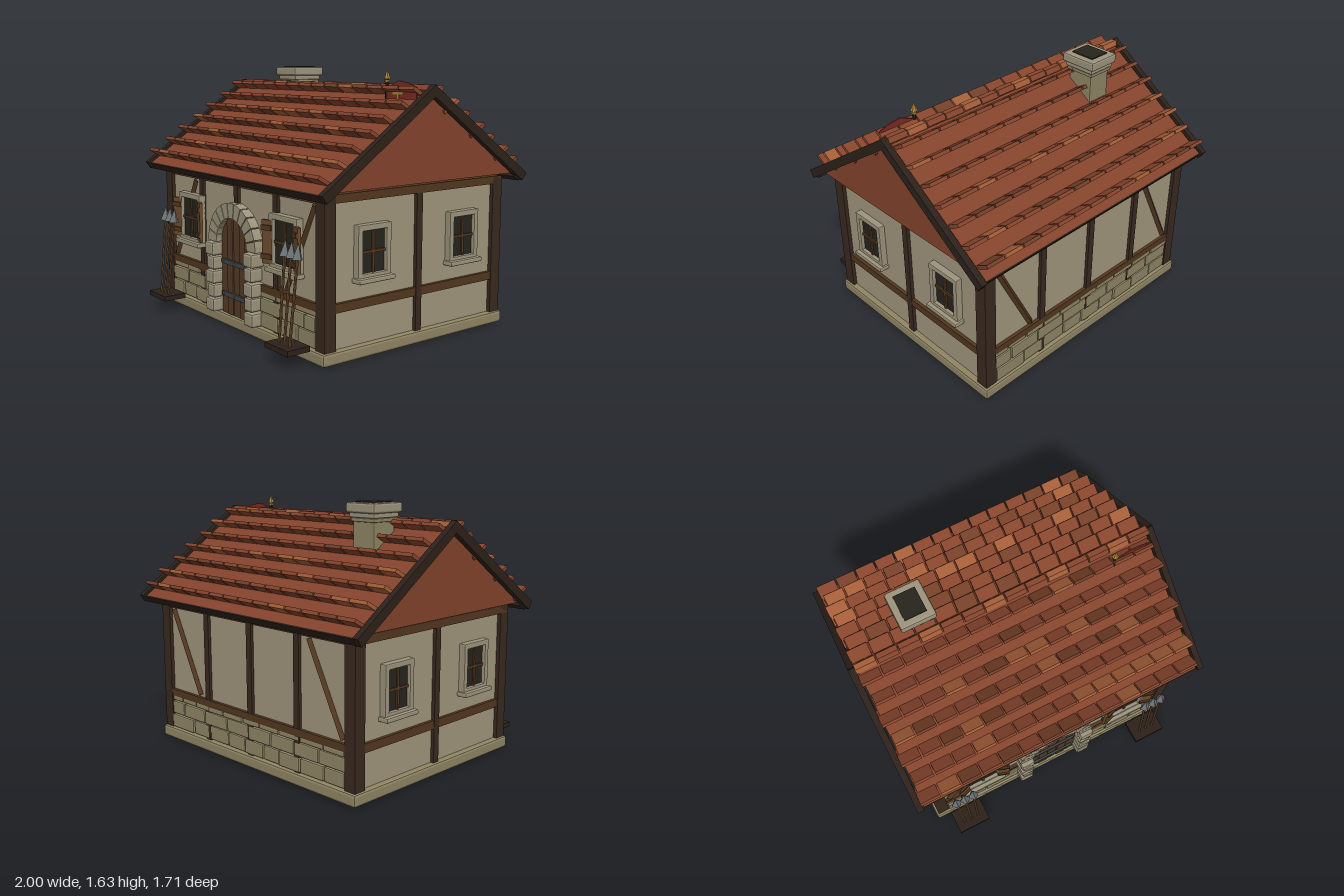
import * as THREE from 'three';
import { RoundedBoxGeometry } from 'three/addons/geometries/RoundedBoxGeometry.js';

const mat = (color, extra = {}) => new THREE.MeshStandardMaterial({ color, flatShading: true, ...extra });
const M = {
  plaster: mat(0xa1967c), stone: mat(0x8f8564), paleStone: mat(0x9c947c), postWood: mat(0x38291e),
  beamWood: mat(0x53371f), darkWood: mat(0x2c211a), plank: mat(0x563a25), shutter: mat(0x6a4a2c),
  roof: mat(0x84432c), tile: mat(0x87452d), tileLight: mat(0xa45d38), tileDark: mat(0x743f28),
  glass: mat(0x27241d), iron: mat(0x43474a), steel: mat(0x6b7274), gold: mat(0xa8843a),
  flag: mat(0x7d2a22, { side: THREE.DoubleSide }),
};

let seed = 7;
const rand = () => (seed = (seed * 16807) % 2147483647) / 2147483647;

function add(parent, name, geo, material, x = 0, y = 0, z = 0) {
  const m = new THREE.Mesh(geo, material);
  m.name = name;
  m.position.set(x, y, z);
  parent.add(m);
  return m;
}
const box = (p, name, material, w, h, d, x, y, z) =>
  add(p, name, new THREE.BoxGeometry(w, h, d), material, x, y, z);
// Box with chamfered edges
const block = (p, name, material, w, h, d, x, y, z, r = 0.01) =>
  add(p, name, new RoundedBoxGeometry(w, h, d, 1, r), material, x, y, z);
const extrude = (pts, depth) => new THREE.ExtrudeGeometry(
  new THREE.Shape(pts.map(([x, y]) => new THREE.Vector2(x, y))), { depth, bevelEnabled: false });
// Round or square bar between two points
function bar(p, name, material, a, b, r, sides = 6) {
  const A = new THREE.Vector3(...a), B = new THREE.Vector3(...b), d = B.clone().sub(A);
  const m = add(p, name, new THREE.CylinderGeometry(r, r, d.length(), sides), material);
  m.position.copy(A).add(B).multiplyScalar(0.5);
  m.quaternion.setFromUnitVectors(new THREE.Vector3(0, 1, 0), d.normalize());
}
function group(parent, name, x = 0, y = 0, z = 0) {
  const g = new THREE.Group();
  g.name = name;
  g.position.set(x, y, z);
  parent.add(g);
  return g;
}

// Window facing +z, with its back at z = 0
function addWindow(parent, w, h) {
  const g = group(parent, 'window');
  for (const s of [-1, 1]) {
    block(g, 'windowFrameSide', M.paleStone, 0.035, h + 0.06, 0.05, s * (w / 2 + 0.015), 0, 0.02, 0.006);
    block(g, 'windowFrameTop', M.paleStone, w + 0.065, 0.035, 0.05, 0, s * (h / 2 + 0.015), 0.02, 0.006);
  }
  box(g, 'glass', M.glass, w, h, 0.02, 0, 0, 0.012);
  box(g, 'mullion', M.beamWood, 0.016, h, 0.02, 0, 0, 0.022);
  box(g, 'transom', M.beamWood, w, 0.016, 0.02, 0, 0, 0.022);
  block(g, 'windowSill', M.paleStone, w + 0.09, 0.03, 0.075, 0, -h / 2 - 0.032, 0.034, 0.008);
  return g;
}

// Courses of stone between two x positions on the wall at side s
function stonework(parent, x0, x1, s) {
  const courses = [[0.085, 0.175], [0.18, 0.265], [0.27, 0.305]];
  courses.forEach(([y0, y1], row) => {
    let x = x0;
    while (x < x1 - 0.01) {
      let w = row === 1 ? 0.19 + rand() * 0.04 : 0.14 + rand() * 0.06;
      if (x1 - x - w < 0.07) w = x1 - x;
      block(parent, 'wallStone', M.stone, w - 0.006, y1 - y0, 0.05, x + w / 2, (y0 + y1) / 2,
        s * (0.677 + rand() * 0.012), 0.008);
      x += w;
    }
  });
}

function buildWalls(h) {
  block(h, 'foundation', M.stone, 1.81, 0.075, 1.45, 0, 0.0425, 0, 0.015);
  box(h, 'foundationBottom', M.stone, 1.77, 0.02, 1.41, 0, 0.01, 0);
  box(h, 'walls', M.plaster, 1.73, 0.87, 1.37, 0, 0.515, 0);
  for (const s of [-1, 1]) {
    for (const t of [-1, 1]) box(h, 'cornerPost', M.postWood, 0.08, 0.87, 0.08, s * 0.85, 0.515, t * 0.668);
    // Gable end timbers and windows
    box(h, 'gablePost', M.postWood, 0.04, 0.83, 0.045, s * 0.868, 0.495, 0);
    box(h, 'gableRail', M.beamWood, 0.04, 0.052, 1.3, s * 0.866, 0.32, 0);
    box(h, 'gablePlate', M.beamWood, 0.06, 0.048, 1.4, s * 0.86, 0.931, 0);
    for (const t of [-1, 1]) {
      const w = addWindow(h, 0.18, 0.25);
      w.position.set(s * 0.862, 0.612, t * 0.36);
      w.rotation.y = s * Math.PI / 2;
    }
    // Long wall timbers
    box(h, 'wallPlate', M.beamWood, 1.66, 0.048, 0.05, 0, 0.926, s * 0.675);
    for (const x of [-0.42, 0.42]) box(h, 'wallPost', M.postWood, 0.045, 0.85, 0.05, x, 0.505, s * 0.68);
    for (const x of [-0.645, 0.645])
      bar(h, 'brace', M.beamWood, [x + 0.135, 0.89, s * 0.687], [x - 0.135, 0.36, s * 0.687], 0.02, 4);
  }
  box(h, 'frontCentrePost', M.postWood, 0.045, 0.15, 0.05, 0, 0.86, 0.68);
  box(h, 'backCentrePost', M.postWood, 0.045, 0.85, 0.05, 0, 0.505, -0.68);
  box(h, 'backRail', M.beamWood, 1.64, 0.046, 0.045, 0, 0.323, -0.684);
  for (const s of [-1, 1]) box(h, 'frontRail', M.beamWood, 0.58, 0.046, 0.045, s * 0.53, 0.323, 0.684);
  stonework(h, -0.81, -0.26, 1);
  stonework(h, 0.26, 0.81, 1);
  stonework(h, -0.81, 0.81, -1);
}

function buildFront(h) {
  // Plank door with a round head
  const R = 0.175, spring = 0.535, n = 5;
  for (let i = 0; i < n; i++) {
    const a = -R + (2 * R * i) / n + 0.003, b = -R + (2 * R * (i + 1)) / n - 0.003;
    const pts = [[a, 0.08], [b, 0.08]];
    for (let k = 0; k <= 6; k++) {
      const x = b + ((a - b) * k) / 6;
      pts.push([x, spring + Math.sqrt(R * R - x * x)]);
    }
    add(h, 'doorPlank', extrude(pts, 0.025), M.plank, 0, 0, 0.68 + (i % 2) * 0.005);
  }
  for (const y of [0.21, 0.42]) {
    box(h, 'doorStrap', M.iron, 0.3, 0.03, 0.015, 0, y, 0.716);
    for (const x of [-0.125, 0, 0.125]) box(h, 'strapRivet', M.steel, 0.012, 0.012, 0.01, x, y, 0.725);
  }
  // Stone arch and jambs
  const count = 11;
  for (let i = 0; i < count; i++) {
    const a0 = (Math.PI * i) / count + 0.012, a1 = (Math.PI * (i + 1)) / count - 0.012, pts = [];
    for (const [r, list] of [[0.27, [0, 0.5, 1]], [R, [1, 0.5, 0]]])
      for (const t of list) {
        const a = a0 + (a1 - a0) * t;
        pts.push([r * Math.cos(a), spring + r * Math.sin(a)]);
      }
    add(h, 'archStone', extrude(pts, 0.075), M.paleStone, 0, 0, 0.67);
  }
  for (const s of [-1, 1])
    for (let i = 0; i < 5; i++) {
      const wide = i % 2 === 0 ? 0.095 : 0.08;
      block(h, 'jambStone', M.paleStone, wide, 0.086, i % 2 ? 0.09 : 0.1, s * (R + wide / 2), 0.126 + i * 0.091, 0.725, 0.014);
    }
  // Shuttered windows
  for (const s of [-1, 1]) {
    const w = addWindow(h, 0.21, 0.265);
    w.position.set(s * 0.535, 0.637, 0.69);
    for (const t of [-1, 1]) {
      const g = group(h, 'shutter', s * 0.535 + t * 0.143, 0.63, 0.735);
      g.rotation.y = -t * 0.3;
      box(g, 'shutterBoard', M.shutter, 0.075, 0.26, 0.02, 0, 0, 0);
      for (const y of [-0.085, 0.085]) box(g, 'shutterBatten', M.beamWood, 0.075, 0.03, 0.014, 0, y, 0.015);
    }
  }
  // Spear racks
  for (const s of [-1, 1]) {
    const g = group(h, 'spearRack', s * 0.7, 0, 0);
    box(g, 'rackBase', M.darkWood, 0.22, 0.032, 0.155, 0, 0.098, 0.822);
    for (const i of [-1, 0, 1]) {
      bar(g, 'spearShaft', M.shutter, [i * 0.05, 0.1, 0.842], [i * 0.06, 0.61, 0.792], 0.009);
      const head = add(g, 'spearHead', new THREE.ConeGeometry(0.036, 0.095, 4), M.steel, i * 0.06, 0.645, 0.789);
      head.rotation.x = -0.1;
    }
  }
}

function buildRoof(h) {
  // Solid roof body
  add(h, 'roofBody', extrude([[-0.785, 0.975], [0.785, 0.975], [0, 1.515]], 1.9), M.roof, -0.95, 0, 0)
    .rotation.y = Math.PI / 2;
  const pitch = Math.atan(0.69);
  for (const s of [-1, 1]) {
    for (const e of [-1, 1]) {
      const b = box(h, 'bargeBoard', M.darkWood, 0.04, 0.056, 0.985, e * 0.98, 1.233, s * 0.386);
      b.rotation.x = s * pitch;
    }
    const f = box(h, 'eavesBoard', M.darkWood, 1.96, 0.05, 0.05, 0, 0.962, s * 0.755);
    f.rotation.x = s * pitch;
    // Tiles kick upward at their outer edge
    for (let row = 0; row < 7; row++)
      for (let c = 0; c < 14; c++) {
        const v = rand(), m = v < 0.14 ? M.tileLight : v < 0.36 ? M.tileDark : M.tile;
        const t = box(h, 'roofTile', m, 0.127, 0.022, 0.135, (c - 6.5) * 0.137 + (row % 2 ? 0.01 : -0.01),
          1.033 + row * 0.075, s * (0.73 - row * 0.112));
        t.rotation.x = -s * Math.PI / 6;
      }
  }
  for (let c = 0; c < 14; c++) {
    const r = add(h, 'ridgeTile', new THREE.CylinderGeometry(0.034, 0.034, 0.13, 6),
      c % 3 ? M.tile : M.tileLight, (c - 6.5) * 0.138, 1.5 + (c % 2) * 0.005, 0);
    r.rotation.z = Math.PI / 2;
  }
}

function buildChimney(h) {
  const g = group(h, 'chimney', -0.522, 0, -0.168);
  block(g, 'chimneyStack', M.stone, 0.165, 0.32, 0.18, 0, 1.4, 0, 0.008);
  block(g, 'chimneyCollar', M.stone, 0.185, 0.022, 0.205, 0, 1.525, 0, 0.006);
  block(g, 'chimneyNeck', M.paleStone, 0.195, 0.035, 0.215, 0, 1.556, 0, 0.006);
  block(g, 'chimneyCap', M.paleStone, 0.225, 0.06, 0.25, 0, 1.596, 0, 0.012);
  box(g, 'flue', M.glass, 0.14, 0.02, 0.165, 0, 1.623, 0);
}

function buildPennant(h) {
  const g = group(h, 'pennant', 0.69, 0, 0.09);
  bar(g, 'pennantPole', M.darkWood, [0, 1.4, 0], [0, 1.57, 0], 0.011);
  add(g, 'poleTip', new THREE.ConeGeometry(0.022, 0.06, 6), M.gold, 0, 1.592, 0);
  bar(g, 'poleRing', M.gold, [0, 1.545, 0], [0, 1.558, 0], 0.018);
  const cloth = [[0.01, 1.43], [0.01, 1.515], [0.1, 1.555], [0.18, 1.545], [0.25, 1.52], [0.25, 1.43]].reverse();
  add(g, 'pennantCloth', extrude(cloth, 0.008), M.flag, 0, 0, -0.004);
  box(g, 'crossArm', M.gold, 0.09, 0.014, 0.016, 0.1, 1.483, 0);
  box(g, 'crossUpright', M.gold, 0.014, 0.075, 0.016, 0.1, 1.477, 0);
}

export function createModel() {
  const root = new THREE.Group();
  root.name = 'cottage';
  const house = group(root, 'house', 0, 0, -0.047);
  buildWalls(house);
  buildFront(house);
  buildRoof(house);
  buildChimney(house);
  buildPennant(house);
  return root;
}
